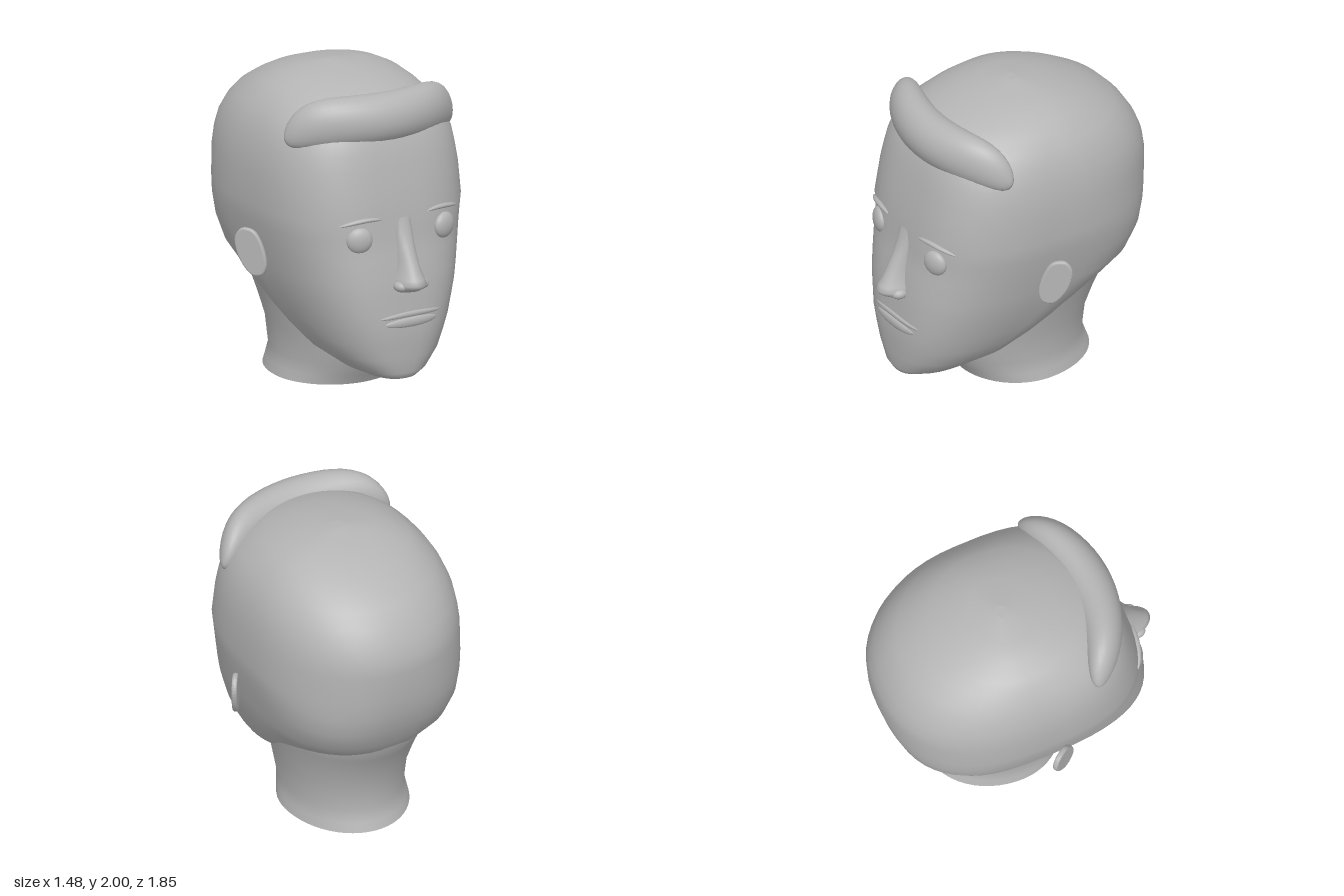
import * as THREE from 'three';

const { lerp, smoothstep } = THREE.MathUtils;
const SIDES = 56;
const CX = 0.015; // the face sits slightly off centre

// Head profile: y, half width, front z, back z
const HEAD = [
  [0.145, 0.06, 0.73, 0.34], [0.16, 0.15, 0.775, 0.26], [0.2, 0.24, 0.797, 0.15],
  [0.3, 0.365, 0.806, -0.06], [0.4, 0.428, 0.813, -0.26], [0.5, 0.477, 0.817, -0.44],
  [0.6, 0.517, 0.807, -0.61], [0.7, 0.555, 0.8, -0.72], [0.8, 0.585, 0.788, -0.79],
  [0.95, 0.622, 0.762, -0.86], [1.08, 0.652, 0.733, -0.893], [1.2, 0.668, 0.733, -0.913],
  [1.4, 0.664, 0.692, -0.925], [1.5, 0.652, 0.67, -0.912], [1.6, 0.635, 0.645, -0.872],
  [1.7, 0.6, 0.61, -0.81], [1.78, 0.555, 0.565, -0.735], [1.85, 0.495, 0.5, -0.625],
  [1.9, 0.435, 0.42, -0.525], [1.95, 0.335, 0.27, -0.39], [1.98, 0.22, 0.12, -0.26],
  [2.0, 0.04, -0.04, -0.11],
];

const NECK = [
  [0, 0.4, 0.29, -0.59], [0.06, 0.388, 0.32, -0.567], [0.14, 0.373, 0.37, -0.537],
  [0.33, 0.395, 0.45, -0.557], [0.5, 0.445, 0.42, -0.622], [0.6, 0.475, 0.38, -0.672],
  [0.7, 0.51, 0.3, -0.728], [0.85, 0.52, 0.2, -0.77],
];

// Nose profile: y, half width, front z
const NOSE = [
  [0.728, 0.08, 0.82], [0.742, 0.1, 0.865], [0.765, 0.112, 0.908], [0.79, 0.112, 0.926],
  [0.82, 0.1, 0.908], [0.87, 0.082, 0.875], [0.94, 0.07, 0.838], [1.02, 0.062, 0.796],
  [1.1, 0.056, 0.76], [1.2, 0.04, 0.73],
];

// The widest point moves forward towards the chin; face and nape are squarer
const widestZ = (y) => -0.1 + 0.9 * Math.max(0, 1 - y) ** 2;
const frontPower = (y) => 2.4 + 0.55 * smoothstep(y, 0.15, 0.7) - 0.95 * smoothstep(y, 1.65, 1.98);
const backPower = (y) => 2 + 0.7 * smoothstep(y, 0.62, 0.84) - 0.45 * smoothstep(y, 0.84, 1.3)
  - 0.25 * smoothstep(y, 1.6, 1.95);

// Skins a list of closed rings and closes both ends with flat caps
function loft(rings) {
  const n = rings[0].length, pos = rings.flat(2), idx = [];
  for (let i = 0; i < rings.length - 1; i++) {
    for (let j = 0; j < n; j++) {
      const a = i * n + j, b = i * n + (j + 1) % n;
      idx.push(a, b, a + n, b, b + n, a + n);
    }
  }
  [rings[0], rings[rings.length - 1]].forEach((ring, end) => {
    const base = pos.length / 3;
    pos.push(...ring.flat());
    for (let j = 1; j < n - 1; j++) {
      idx.push(base, base + (end ? j : j + 1), base + (end ? j + 1 : j));
    }
  });
  const g = new THREE.BufferGeometry();
  g.setAttribute('position', new THREE.Float32BufferAttribute(pos, 3));
  g.setIndex(idx);
  g.computeVertexNormals();
  return g;
}

// Horizontal egg-shaped ring; the powers make its front and back fuller
function section(cx, y, w, zf, zb, zc, nf = 2, nb = 2) {
  return Array.from({ length: SIDES }, (_, j) => {
    const a = j / SIDES * Math.PI * 2, s = Math.sin(a), c = Math.cos(a);
    const p = 2 / (c > 0 ? nf : nb);
    const x = w * Math.sign(s) * Math.abs(s) ** p;
    return [cx + x, y, zc + ((c > 0 ? zf : zb) - zc) * Math.abs(c) ** p];
  });
}

// Depth of the face surface at a point
function faceZ(x, y) {
  const i = HEAD.findIndex((h) => h[0] >= y);
  const t = (y - HEAD[i - 1][0]) / (HEAD[i][0] - HEAD[i - 1][0]);
  const [, w, zf] = HEAD[i].map((v, k) => lerp(HEAD[i - 1][k], v, t));
  const zc = widestZ(y), nf = frontPower(y);
  return zc + (zf - zc) * (1 - Math.min(1, Math.abs(x) / w) ** nf) ** (1 / nf);
}

// Form swept from x0 to x1; rule(u, x) gives y, z, vertical and depth radius
function sweep(x0, x1, steps, sides, rule) {
  const rings = [];
  for (let i = 0; i <= steps; i++) {
    const u = 0.5 - 0.5 * Math.cos(i / steps * Math.PI), x = lerp(x0, x1, u);
    const [y, z, ry, rz] = rule(u, x);
    rings.push(Array.from({ length: sides }, (_, j) => {
      const a = j / sides * Math.PI * 2;
      return [x, y + ry * Math.cos(a), z + rz * Math.sin(a)];
    }));
  }
  return loft(rings);
}

// Slim tapered strip lying on the face
function faceStrip(x0, x1, yAt, ry, rz, lift) {
  return sweep(x0, x1, 16, 12, (u, x) => {
    const k = Math.max(0.05, Math.sqrt(Math.max(0, 1 - (2 * u - 1) ** 2)));
    const y = yAt(u);
    return [y, faceZ(x, y) + lift, ry * k, rz * k];
  });
}

export function createModel() {
  const model = new THREE.Group();
  model.name = 'head';
  const grey = new THREE.MeshStandardMaterial({ color: 0xb4b4b4 });
  grey.name = 'plain grey';
  const add = (name, geometry) => {
    const mesh = new THREE.Mesh(geometry, grey);
    mesh.name = name;
    model.add(mesh);
    return mesh;
  };

  add('skullAndFace', loft(HEAD.map((r) => section(0, ...r, widestZ(r[0]), frontPower(r[0]), backPower(r[0])))));
  add('neck', loft(NECK.map((r) => section(0, ...r, -0.1))));
  add('nose', loft(NOSE.map((r) => section(CX, ...r, 0.68, 0.73))));

  // Rolled fringe, sinking into the head at both temples
  add('fringe', sweep(-0.6, 0.6, 28, 28, (u) => {
    const v = 2 * u - 1, k = Math.max(0.08, Math.sqrt(Math.max(0, 1 - v ** 6)));
    return [1.782 - 0.012 * v - 0.1 * v ** 6, 0.525 - 0.2 * v * v, 0.162 * k, (0.14 - 0.03 * v * v) * k];
  }));

  // Lips, lying almost flush with the face
  add('upperLip', faceStrip(CX - 0.21, CX + 0.23, (u) => 0.583 - 0.012 * (2 * u - 1) ** 2, 0.018, 0.012, -0.001));
  add('lowerLip', faceStrip(CX - 0.18, CX + 0.2, () => 0.532, 0.032, 0.016, -0.003));

  // Ear outline: distance out from the head, height
  const earOutline = [
    [0, 0.8], [0.006, 0.88], [0.05, 0.99], [0.09, 1.032], [0.165, 1.038],
    [0.208, 0.98], [0.195, 0.88], [0.145, 0.79], [0.09, 0.742], [0.025, 0.75],
  ];

  for (const side of [1, -1]) {
    const label = side > 0 ? 'left' : 'right';

    const nostril = add(label + 'Nostril', new THREE.SphereGeometry(1, 20, 14));
    nostril.scale.set(0.045, 0.036, 0.055);
    nostril.position.set(CX + side * 0.073, 0.775, 0.81);

    const eye = add(label + 'Eye', new THREE.SphereGeometry(1, 28, 20));
    eye.scale.set(0.083, 0.083, 0.042);
    eye.rotation.y = side * 0.33;
    eye.position.set(CX + side * 0.307, 1.08, faceZ(0.307, 1.08));

    // Brows drop towards the temples
    const ends = [CX + side * 0.165, CX + side * 0.437];
    const browY = (u) => {
      const t = side > 0 ? u : 1 - u;
      return 1.202 + 0.045 * t - 0.073 * t * t;
    };
    add(label + 'Brow', faceStrip(Math.min(...ends), Math.max(...ends), browY, 0.015, 0.018, 0.006));

    const curve = new THREE.CatmullRomCurve3(
      earOutline.map(([u, v]) => new THREE.Vector3(side * u, v, 0)), true);
    const shape = new THREE.Shape(curve.getPoints(40).slice(0, -1).map((p) => new THREE.Vector2(p.x, p.y)));
    const ear = add(label + 'Ear', new THREE.ExtrudeGeometry(shape, {
      depth: 0.01, bevelEnabled: true, bevelThickness: 0.012, bevelSize: 0.012, bevelOffset: -0.012, bevelSegments: 3,
    }));
    ear.rotation.y = side * 0.95;
    ear.position.set(side * 0.606, 0, 0.122);
  }
  return model;
}
